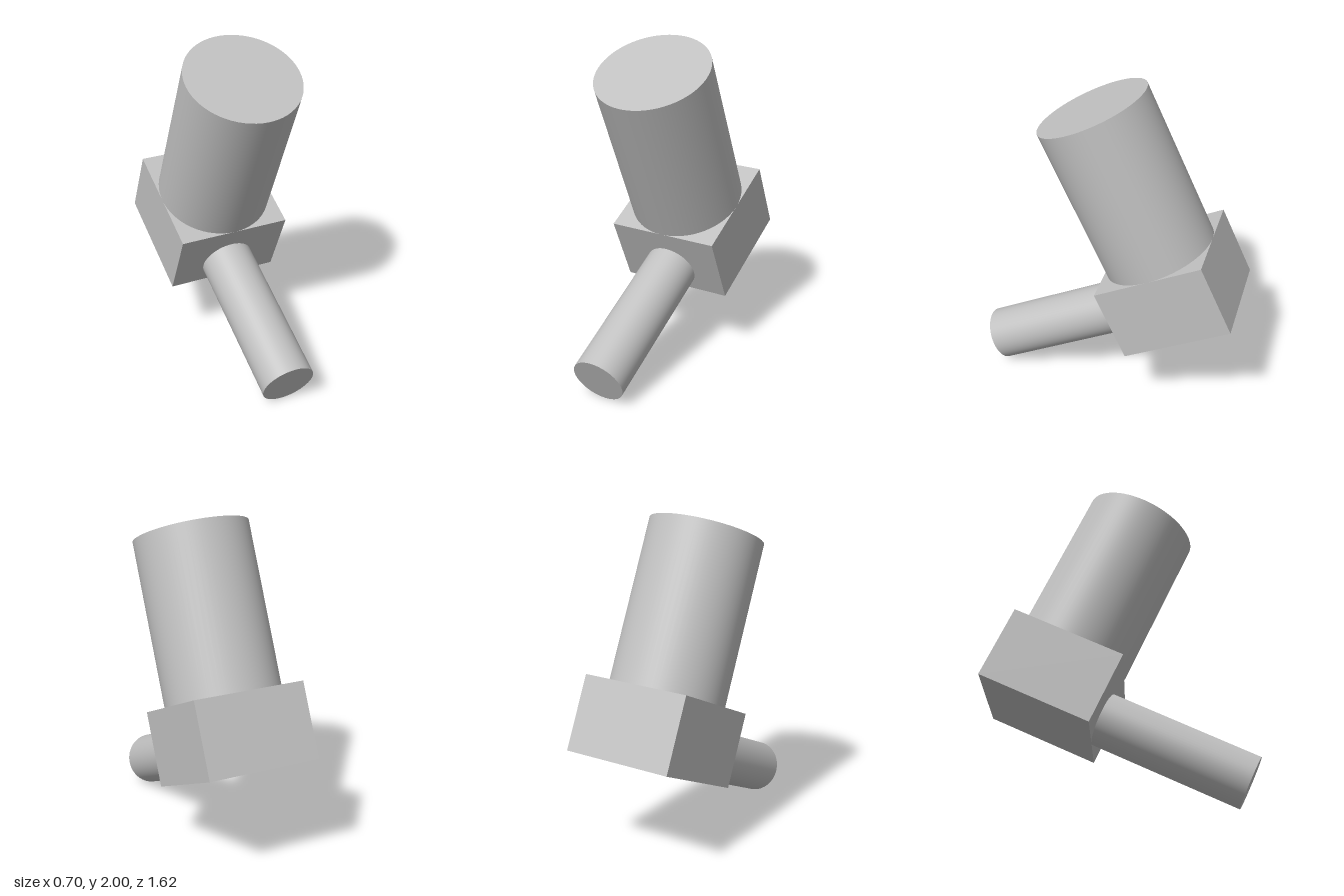
import * as THREE from 'three';

const TILT = THREE.MathUtils.degToRad(25);
const BLOCK = { width: 0.696, height: 0.452, depth: 0.696 };
const BARREL = { radius: 0.348, length: 0.992 };
const SHAFT = { radius: 0.162, length: 0.935 };

export function createModel() {
  const model = new THREE.Group();
  const grey = new THREE.MeshStandardMaterial({ color: 0xc0c0c0 });
  grey.name = 'plain grey';

  // All parts share one tilted frame centred on the block
  const assembly = new THREE.Group();
  assembly.name = 'tiltedAssembly';
  assembly.rotation.x = TILT;
  assembly.position.set(0, 0.748, -0.396);
  model.add(assembly);

  const addPart = (name, geometry, y, z) => {
    const mesh = new THREE.Mesh(geometry, grey);
    mesh.name = name;
    mesh.position.set(0, y, z);
    assembly.add(mesh);
  };
  const rod = ({ radius, length }) => new THREE.CylinderGeometry(radius, radius, length, 64);

  // Square block joining the two cylinders
  addPart('block', new THREE.BoxGeometry(BLOCK.width, BLOCK.height, BLOCK.depth), 0, 0);

  // Wide barrel standing on the block
  addPart('barrel', rod(BARREL), (BLOCK.height + BARREL.length) / 2, 0);

  // Narrow shaft out of the front, flush with the block's underside
  addPart('shaft', rod(SHAFT).rotateX(Math.PI / 2),
    -BLOCK.height / 2 + SHAFT.radius, (BLOCK.depth + SHAFT.length) / 2);

  return model;
}
